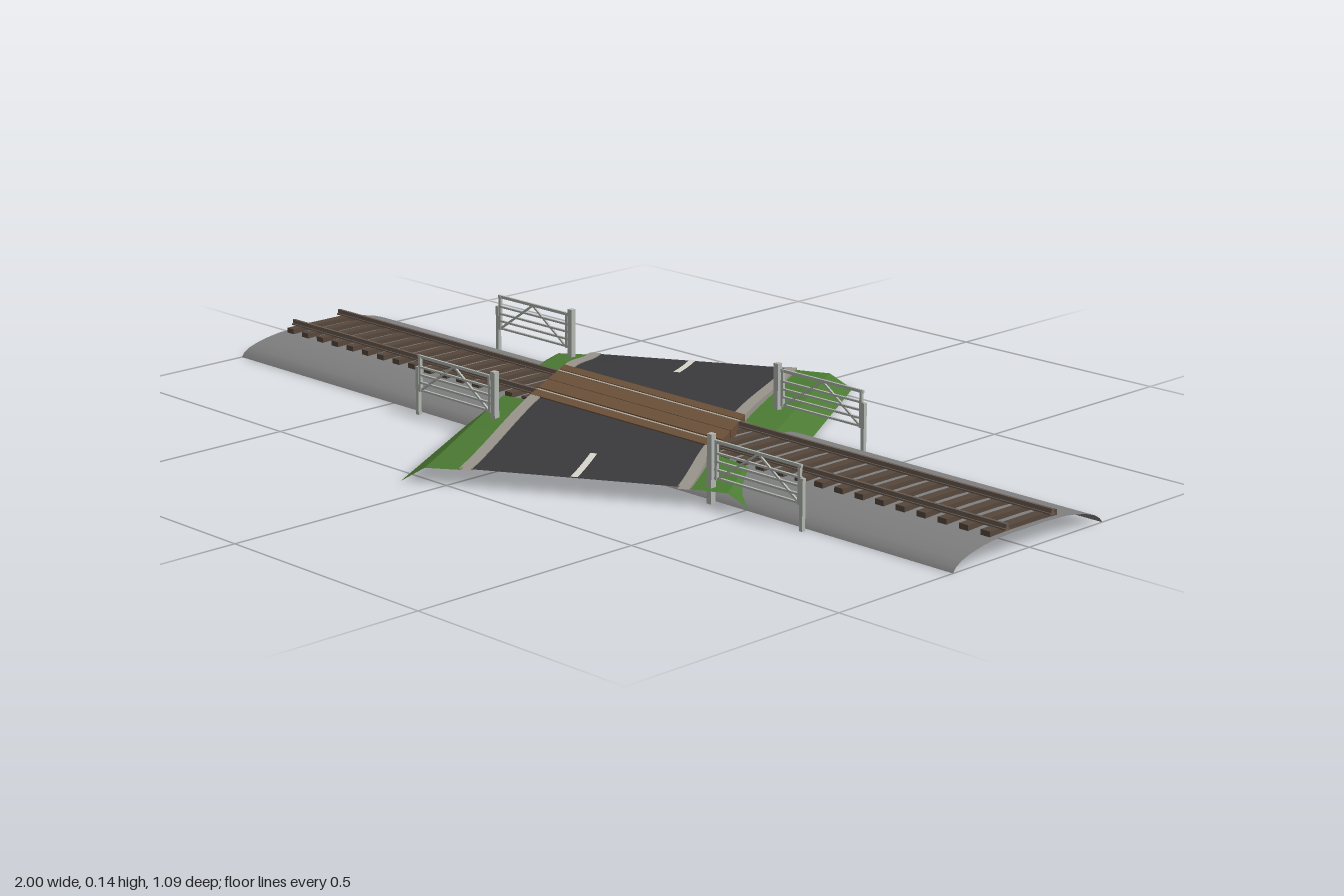
import * as THREE from 'three';

const mat = (color, flatShading = false) =>
  new THREE.MeshStandardMaterial({ color, flatShading, side: THREE.DoubleSide });
const GRAVEL = mat(0x808080), ASPHALT = mat(0x3a3a3d), KERB = mat(0x99958c, true);
const GRASS = mat(0x4b7a33, true), PAINT = mat(0xd8d6cc), TIMBER = mat(0x6b5039);
const SLEEPER = mat(0x57473c), RAIL = mat(0x6a5b50), STEEL = mat(0xb5a898), GATE = mat(0xb4b8b2);

const COS = Math.cos(Math.PI / 6), SIN = 0.5, TAN = SIN / COS;
const DECK = 0.1, ROAD_END = 0.43, HALF_ROAD = 0.224;

function add(parent, name, geometry, material) {
  const mesh = new THREE.Mesh(geometry, material);
  mesh.name = name;
  parent.add(mesh);
  return mesh;
}

function box(parent, name, material, sx, sy, sz, x, y, z) {
  const mesh = add(parent, name, new THREE.BoxGeometry(sx, sy, sz), material);
  mesh.position.set(x, y, z);
  return mesh;
}

// Surface grid: f(i, j) returns [x, y, z]
function grid(nu, nv, f) {
  const pos = [], idx = [];
  for (let j = 0; j <= nv; j++) for (let i = 0; i <= nu; i++) pos.push(...f(i, j));
  for (let j = 0; j < nv; j++) for (let i = 0; i < nu; i++) {
    const a = j * (nu + 1) + i, c = a + nu + 1;
    idx.push(a, c, a + 1, a + 1, c, c + 1);
  }
  const g = new THREE.BufferGeometry();
  g.setAttribute('position', new THREE.Float32BufferAttribute(pos, 3));
  g.setIndex(idx);
  g.computeVertexNormals();
  return g;
}

// Skewed road: w runs across, d along; t goes from the deck (0) to the road end (1)
const deckEdge = (w) => (DECK + SIN * w) / COS;
const ease = (t) => 1 - t * t * (3 - 2 * t);
const place = (w, d, y) => [w * COS + d * SIN, y, -w * SIN + d * COS];

// Sweeps a cross-section of [w, height at deck, height at end] along the road
function sweep(section, from = null) {
  const n = 12;
  return grid(section.length - 1, n, (i, j) => {
    const [w, yDeck, yEnd] = section[i];
    const d0 = deckEdge(w);
    const start = from === null ? 0 : (from - d0) / (ROAD_END - d0);
    const t = start + (1 - start) * j / n;
    return place(w, d0 + (ROAD_END - d0) * t, yEnd + (yDeck - yEnd) * ease(t));
  });
}

// One road approach with its kerbs, verges and dash
function approach() {
  const g = new THREE.Group();
  const y0 = 0.057, y1 = 0.035;
  const lane = [];
  for (let i = 0; i <= 8; i++) lane.push([-0.202 + 0.0505 * i, y0, y1]);
  add(g, 'roadSurface', sweep(lane), ASPHALT);
  add(g, 'centreDash', sweep([[-0.007, y0 + 0.002, y1 + 0.002], [0.007, y0 + 0.002, y1 + 0.002]], 0.3), PAINT);
  for (const s of [-1, 1]) {
    const a = s > 0 ? 0.2 : -HALF_ROAD, b = s > 0 ? HALF_ROAD : -0.2;
    const top = [y0 + 0.002, y1 + 0.002], low = [y0 - 0.013, y1 - 0.004];
    add(g, 'kerb', sweep([[a, ...top], [b, ...top], [b, ...low], [a, ...low], [a, ...top]]), KERB);
    const verge = [[s * 0.222, 0.046, 0.032], [s * 0.294, 0.04, 0.03], [s * 0.342, 0, 0]];
    if (s < 0) verge.reverse();
    add(g, 'grassVerge', sweep(verge), GRASS);
  }
  return g;
}

// Field gate: hinge post at the origin, gate reaching along +x
function gate() {
  const g = new THREE.Group(), len = 0.23;
  box(g, 'hingePost', GATE, 0.012, 0.135, 0.012, 0, 0.0675, 0);
  box(g, 'latchPost', GATE, 0.008, 0.1, 0.008, len, 0.05, 0);
  for (const x of [0.014, len - 0.007])
    box(g, 'gateStile', GATE, 0.006, 0.075, 0.006, x, 0.086, 0);
  for (const y of [0.052, 0.068, 0.084, 0.1, 0.122])
    box(g, 'gateBar', GATE, len - 0.012, y > 0.11 ? 0.006 : 0.004, 0.005, len / 2 + 0.004, y, 0);
  // Braces meet at the middle of the top bar
  for (const s of [-1, 1]) {
    const dx = 0.1, dy = 0.068;
    const brace = box(g, 'gateBrace', GATE, Math.hypot(dx, dy), 0.004, 0.004, 0.12 + s * dx / 2, 0.087, 0);
    brace.rotation.z = -s * Math.atan2(dy, dx);
  }
  return g;
}

// Slab with skewed ends between two z values
function plank(z0, z1) {
  const x = HALF_ROAD / COS;
  const shape = new THREE.Shape([
    [-x + z0 * TAN, -z0], [-x + z1 * TAN, -z1], [x + z1 * TAN, -z1], [x + z0 * TAN, -z0],
  ].map((p) => new THREE.Vector2(...p)));
  return new THREE.ExtrudeGeometry(shape, { depth: 0.021, bevelEnabled: false })
    .rotateX(-Math.PI / 2).translate(0, 0.0385, 0);
}

export function createModel() {
  const model = new THREE.Group();
  model.name = 'levelCrossing';

  // Arched gravel bed, open underneath
  const half = [[0.207, 0], [0.2, 0.009], [0.185, 0.018], [0.16, 0.026], [0.13, 0.032], [0.1, 0.036], [0.05, 0.038]];
  const arch = [...half, [0, 0.038], ...half.map(([z, y]) => [-z, y]).reverse()];
  add(model, 'trackBed', grid(arch.length - 1, 1, (i, j) => [j * 2 - 1, arch[i][1], arch[i][0]]), GRAVEL);

  // Sleepers outside the deck
  for (let i = 0; i < 40; i++) {
    const x = -0.975 + i * 0.05;
    if (Math.abs(x) > 0.2) box(model, 'sleeper', SLEEPER, 0.021, 0.014, 0.186, x, 0.04, 0);
  }

  // Rails, polished where they cross the road
  for (const s of [-1, 1]) {
    const z = s * 0.063;
    box(model, 'railFoot', RAIL, 2, 0.003, 0.012, 0, 0.048, z);
    box(model, 'rail', RAIL, 2, 0.012, 0.006, 0, 0.052, z);
    box(model, 'polishedRail', STEEL, 0.516, 0.002, 0.006, z * TAN, 0.0582, z);
  }

  // Timber deck in panels beside and between the rails
  for (const [a, b] of [[-DECK, -0.069], [-0.055, -0.001], [0.001, 0.055], [0.069, DECK]])
    add(model, 'deckPanel', plank(a, b), TIMBER);

  // Each side of the line repeats the other, turned half round
  for (const [turn, label] of [[0, 'front'], [Math.PI, 'back']]) {
    const side = new THREE.Group();
    side.name = label + 'Approach';
    side.add(approach());
    for (const [x, dir] of [[0.425, 0], [-0.172, Math.PI]]) {
      const gt = gate();
      gt.name = 'gate';
      gt.position.set(x, 0, 0.222);
      gt.rotation.y = dir;
      side.add(gt);
    }
    side.rotation.y = turn;
    model.add(side);
  }
  return model;
}
